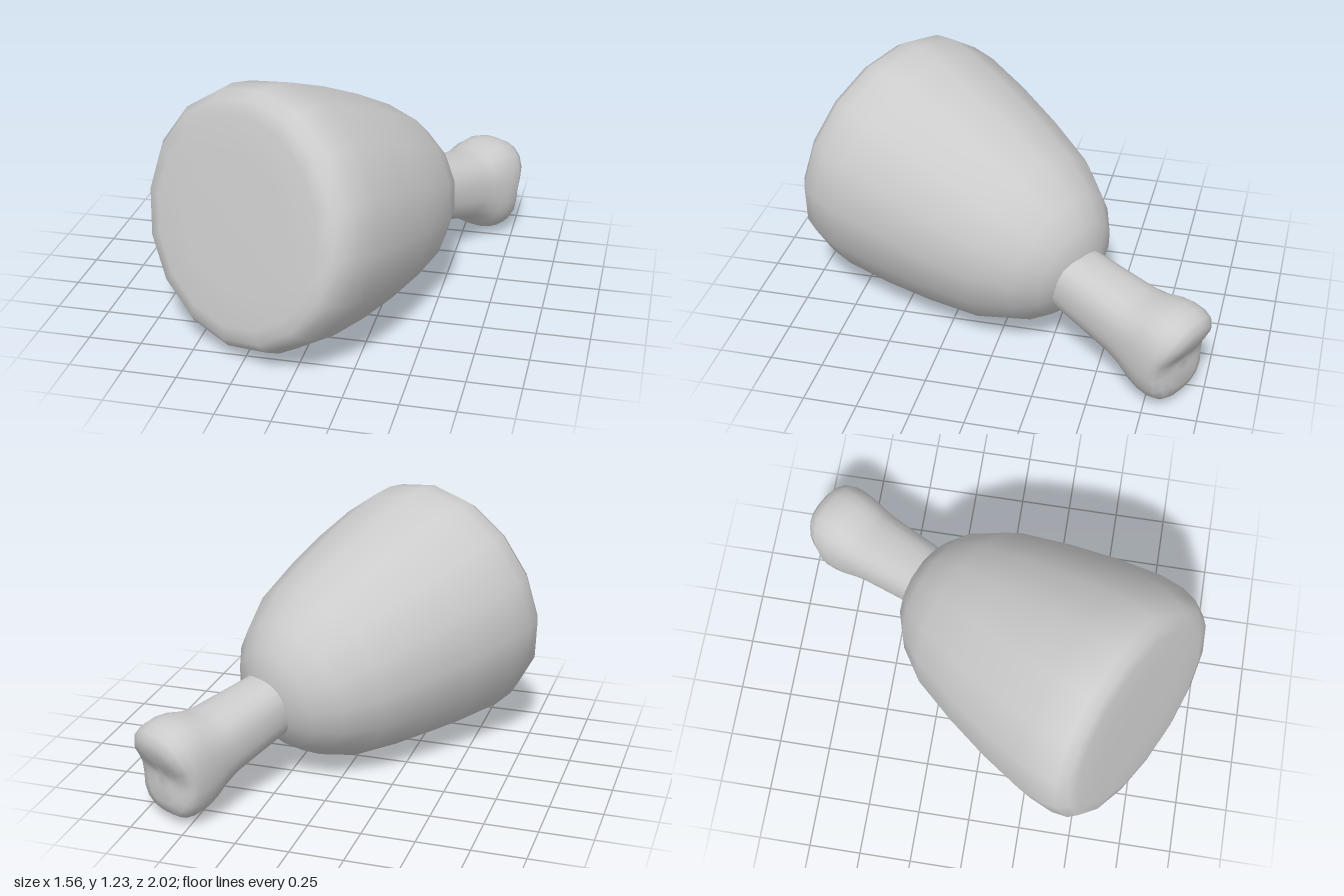
import * as THREE from 'three';
import { mergeVertices } from 'three/addons/utils/BufferGeometryUtils.js';

const YAW = Math.atan2(0.47, 0.88);

// Point given as sideways offset s, forward distance t (both in the yawed plane) and height y
const place = (s, t, y) => new THREE.Vector3(
  s * Math.cos(YAW) - t * Math.sin(YAW), y, s * Math.sin(YAW) + t * Math.cos(YAW));

// Round part turned about local Y, with local Z kept upward; shape(v) may move the vertices
function turned(name, profile, sides, material, origin, axis, shape) {
  let geo = new THREE.LatheGeometry(profile.map(([r, h]) => new THREE.Vector2(r, h)), sides);
  const pos = geo.attributes.position;
  const v = new THREE.Vector3();
  for (let i = 0; shape && i < pos.count; i++) {
    shape(v.fromBufferAttribute(pos, i));
    pos.setXYZ(i, v.x, v.y, v.z);
  }
  geo.deleteAttribute('uv');
  geo.deleteAttribute('normal');
  geo = mergeVertices(geo, 1e-4);
  geo.computeVertexNormals();
  const mesh = new THREE.Mesh(geo, material);
  mesh.name = name;
  const y = axis.clone().normalize();
  const z = new THREE.Vector3(0, 1, 0).addScaledVector(y, -y.y).normalize();
  const x = new THREE.Vector3().crossVectors(y, z);
  mesh.quaternion.setFromRotationMatrix(new THREE.Matrix4().makeBasis(x, y, z));
  mesh.position.copy(origin);
  return mesh;
}

export function createModel() {
  const group = new THREE.Group();
  group.name = 'hamOnBone';
  const material = new THREE.MeshStandardMaterial({ color: 0xcccccc });

  // Meat: domed at the back, widening to a flat cut face with a rounded rim
  const meat = [
    [0, -0.515], [0.14, -0.5], [0.25, -0.45], [0.345, -0.355], [0.445, -0.18], [0.517, 0.07],
    [0.573, 0.32], [0.609, 0.55], [0.608, 0.67], [0.587, 0.75], [0.548, 0.793],
    [0.48, 0.81], [0.3, 0.814], [0, 0.814],
  ];
  group.add(turned('meat', meat, 16, material, place(0.092, 0, 0.491), place(0, 1, 0.2)));

  // Bone: squarish shaft that flares into a taller knuckle with a groove across its end
  const bone = [
    [0, -0.12], [0.143, -0.12], [0.147, 0], [0.158, 0.2], [0.168, 0.36], [0.176, 0.43],
    [0.186, 0.5], [0.193, 0.56], [0.193, 0.62], [0.182, 0.665], [0.155, 0.695],
    [0.11, 0.708], [0.05, 0.712], [0, 0.712],
  ];
  group.add(turned('bone', bone, 24, material, place(0.12, -0.45, 0.382), place(0, -1, -0.235), (v) => {
    const r = Math.hypot(v.x, v.z) || 1;
    const square = (Math.abs(v.x / r) ** 2.6 + Math.abs(v.z / r) ** 2.6 || 1) ** (-1 / 2.6);
    const flare = THREE.MathUtils.smoothstep(v.y, 0.38, 0.54);
    v.x *= square;
    v.z *= square * (0.98 + 0.23 * flare);
    const end = THREE.MathUtils.smoothstep(v.y, 0.6, 0.71);
    v.y -= 0.045 * end * Math.exp(-((v.z / 0.1) ** 2));
  }));

  return group;
}
